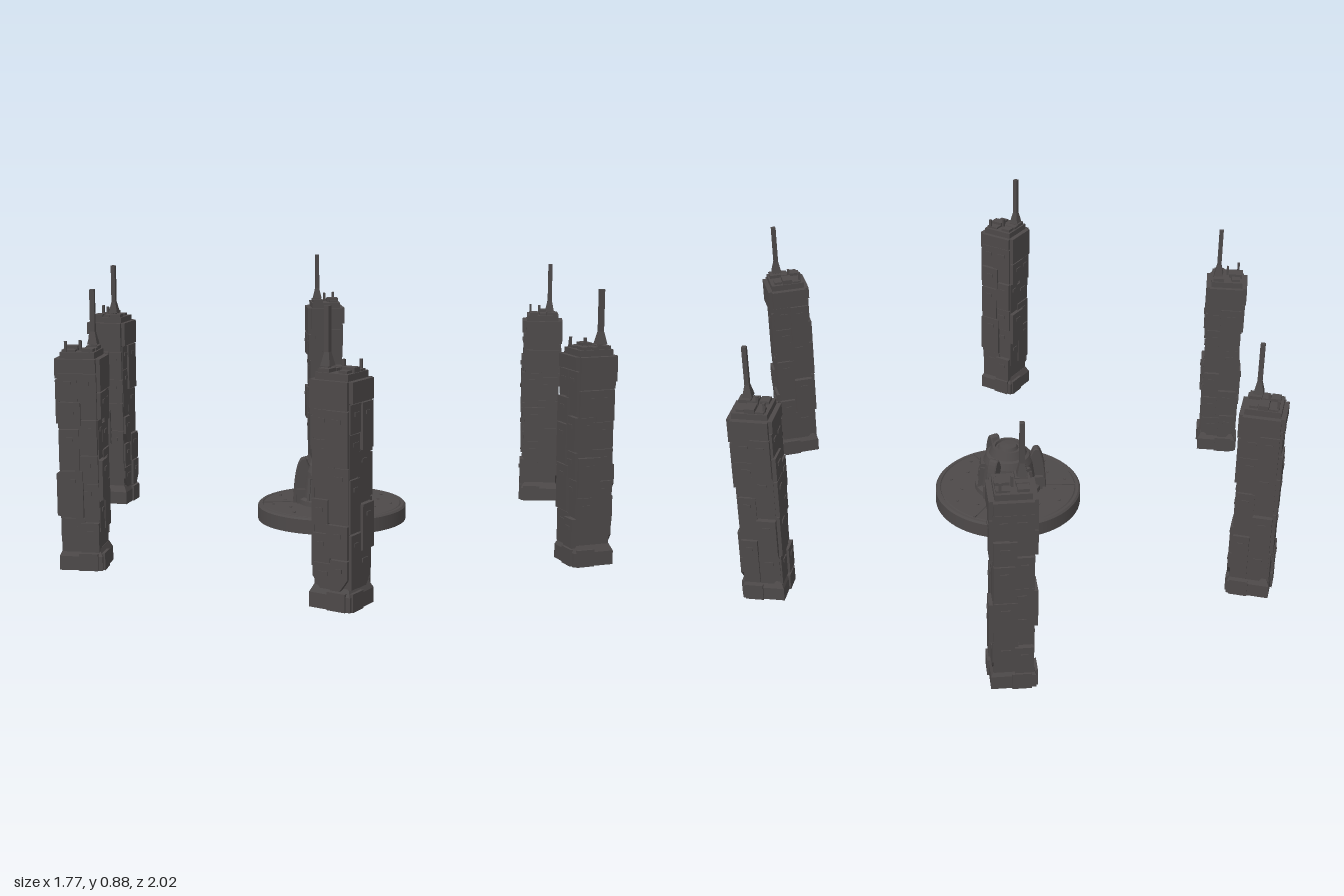
import * as THREE from 'three';

const stone = new THREE.MeshStandardMaterial({ color: 0x4d4949 });
stone.name = 'dark stone';

function add(parent, name, geometry, x = 0, y = 0, z = 0) {
  const mesh = new THREE.Mesh(geometry, stone);
  mesh.name = name;
  mesh.position.set(x, y, z);
  parent.add(mesh);
  return mesh;
}
const box = (w, h, d) => new THREE.BoxGeometry(w, h, d);

// Four-sided frustum with flat faces, given its half widths
function frustum(top, bottom, height) {
  const geometry = new THREE.CylinderGeometry(top * Math.SQRT2, bottom * Math.SQRT2, height, 4).toNonIndexed();
  geometry.rotateY(Math.PI / 4);
  geometry.computeVertexNormals();
  return geometry;
}

// Small repeatable number series
function seeded(seed) {
  return () => {
    seed = (seed * 16807) % 2147483647;
    return seed / 2147483647;
  };
}

// Raised slab with one lower corner cut away on the given side
function slab(w, h, d, cut, side) {
  const outline = new THREE.Shape();
  outline.moveTo(-side * w / 2, -h / 2);
  outline.lineTo(side * (w / 2 - cut), -h / 2);
  outline.lineTo(side * w / 2, cut * 1.4 - h / 2);
  outline.lineTo(side * w / 2, h / 2);
  outline.lineTo(-side * w / 2, h / 2);
  return new THREE.ExtrudeGeometry(outline, { depth: d, bevelEnabled: false });
}

const HALF = 0.0575;
const WALL_TOP = 0.672;

// One tower wall: a wide head slab over two columns of stacked slabs
function createWall(index) {
  const wall = new THREE.Group();
  const random = seeded(4211 + index * 977);
  const headBottom = 0.57 + 0.02 * index;
  add(wall, 'headSlab', box(0.12, WALL_TOP - headBottom, 0.015), 0, (WALL_TOP + headBottom) / 2, HALF + 0.0075);
  for (const column of [-1, 1]) {
    let top = headBottom - 0.004;
    while (top > 0.12) {
      const height = Math.min(0.08 + 0.09 * random(), top - 0.06);
      const width = 0.05 + 0.025 * random();
      const depth = 0.004 + 0.013 * random();
      const cut = random() > 0.7 ? 0.025 : 0;
      const x = column * (HALF + 0.003 - width / 2);
      add(wall, 'wallSlab', slab(width, height, depth, cut, column), x, top - height / 2, HALF);
      add(wall, 'ledge', box(width * 0.4, 0.012, 0.004), x, top - 0.03, HALF + depth + 0.001);
      top -= height + 0.004;
    }
  }
  add(wall, 'plinthBlock', box(0.06, 0.055, 0.01), index % 2 ? 0.025 : -0.03, 0.0275, 0.07);
  return wall;
}

function createTower() {
  const tower = new THREE.Group();
  add(tower, 'shaft', box(HALF * 2, WALL_TOP, HALF * 2), 0, WALL_TOP / 2, 0);
  add(tower, 'plinth', box(0.138, 0.045, 0.138), 0, 0.0225, 0);
  add(tower, 'plinthSlope', frustum(0.0585, 0.069, 0.022), 0, 0.056, 0);
  for (let i = 0; i < 4; i++) {
    const wall = createWall(i);
    wall.name = 'wall' + (i + 1);
    wall.rotation.y = i * Math.PI / 2;
    tower.add(wall);
  }

  // Roof deck, blocks in a loose grid and thin posts
  add(tower, 'roofDeck', box(0.115, 0.022, 0.11), 0, 0.681, 0);
  const random = seeded(733);
  for (const x of [-0.032, 0, 0.032]) {
    for (const z of [-0.03, 0.03]) {
      const h = 0.028 + 0.018 * random();
      add(tower, 'roofBlock', box(0.02 + 0.02 * random(), h, 0.025 + 0.02 * random()), x, 0.67 + h / 2, z);
    }
    add(tower, 'roofPost', box(0.008, 0.055, 0.008), x - 0.013, 0.6975, x * 1.2);
  }
  // Mast with a flared foot
  add(tower, 'mast', box(0.015, 0.2, 0.015), 0.024, 0.78, 0.032);
  add(tower, 'mastFoot', frustum(0.0075, 0.016, 0.04), 0.024, 0.728, 0.032);
  return tower;
}

// Turned shape with crisp edges: each profile segment is its own strip
function turned(parent, name, profile) {
  for (let i = 0; i < profile.length - 1; i++) {
    const points = [profile[i], profile[i + 1]].map(([r, y]) => new THREE.Vector2(r, y));
    add(parent, name, new THREE.LatheGeometry(points, 64));
  }
}

// Buttress outline: radius outwards, then height
function buttressGeometry() {
  const fin = new THREE.Shape();
  fin.moveTo(0.06, 0.095);
  fin.lineTo(0.132, 0.095);
  fin.lineTo(0.128, 0.15);
  fin.quadraticCurveTo(0.122, 0.22, 0.106, 0.245);
  fin.quadraticCurveTo(0.098, 0.253, 0.09, 0.244);
  fin.lineTo(0.078, 0.215);
  fin.lineTo(0.06, 0.21);
  const geometry = new THREE.ExtrudeGeometry(fin, { depth: 0.026, bevelSize: 0.003, bevelThickness: 0.004, bevelSegments: 1, curveSegments: 6 });
  return geometry.translate(0, 0, -0.013);
}

// Doorway panel with frame and studs
function createBay() {
  const bay = new THREE.Group();
  bay.name = 'bay';
  add(bay, 'bayPanel', box(0.014, 0.075, 0.06), 0.092, 0.15, 0).rotation.z = 0.14;
  add(bay, 'bayLintel', box(0.014, 0.012, 0.07), 0.087, 0.197, 0);
  for (const s of [-1, 1]) {
    add(bay, 'bayPost', box(0.016, 0.09, 0.01), 0.095, 0.145, s * 0.035).rotation.z = 0.14;
    add(bay, 'stud', box(0.01, 0.01, 0.01), 0.097, 0.165, s * 0.015);
  }
  return bay;
}

function createShrine() {
  const shrine = new THREE.Group();
  shrine.name = 'centralShrine';
  turned(shrine, 'disc', [[0, 0.04], [0.256, 0.04], [0.256, 0.088], [0.25, 0.094], [0.24, 0.094],
    [0.238, 0.091], [0.235, 0.094], [0.1, 0.097]]);
  turned(shrine, 'dome', [[0.118, 0.095], [0.115, 0.112], [0.1, 0.118], [0.086, 0.205], [0.076, 0.228],
    [0.066, 0.232], [0.054, 0.258], [0.045, 0.258], [0.043, 0.25], [0.036, 0.25], [0.03, 0.262], [0, 0.264]]);

  const fin = buttressGeometry();
  for (let i = 0; i < 3; i++) {
    const third = new THREE.Group();
    third.name = 'shrineThird' + (i + 1);
    third.rotation.y = Math.PI + i * Math.PI * 2 / 3;
    add(third, 'buttress', fin);
    add(third, 'discRib', box(0.105, 0.004, 0.008), 0.185, 0.096, 0);
    for (const s of [-1, 1]) add(third, 'buttressFoot', box(0.04, 0.05, 0.014), 0.102, 0.12, s * 0.024);
    const bay = createBay();
    bay.rotation.y = Math.PI / 3;
    third.add(bay);
    shrine.add(third);
  }
  // Small studs spread over the disc
  for (let i = 0; i < 18; i++) {
    const a = (i + 0.5) / 18 * Math.PI * 2;
    const r = i % 2 ? 0.165 : 0.205;
    add(shrine, 'discStud', box(0.008, 0.004, 0.008), r * Math.cos(a), 0.096, r * Math.sin(a)).rotation.y = -a;
  }
  return shrine;
}

export function createModel() {
  const model = new THREE.Group();
  model.name = 'towerCircle';
  model.add(createShrine());
  // Six towers in a ring, each turned its own way (degrees)
  [123, -17, 8, 85, 15, -82].forEach((turn, i) => {
    const around = i * Math.PI / 3;
    const tower = createTower();
    tower.name = 'tower' + (i + 1);
    tower.position.set(0.92 * Math.sin(around), 0, 0.92 * Math.cos(around) - 0.008);
    tower.rotation.y = -THREE.MathUtils.degToRad(turn);
    model.add(tower);
  });
  return model;
}
